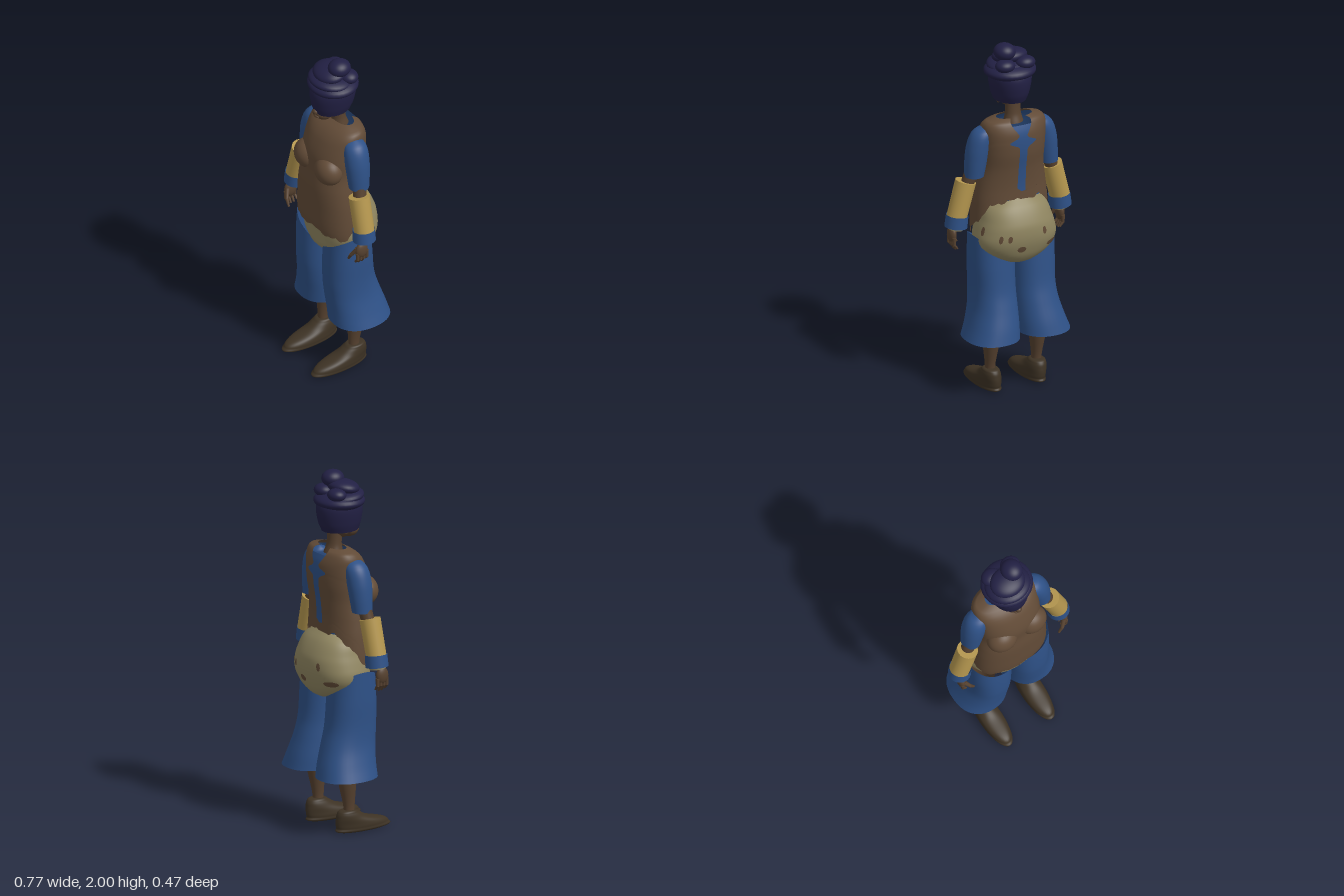
import * as THREE from 'three';
import { mergeVertices } from 'three/addons/utils/BufferGeometryUtils.js';

const mat = (name, color) => new THREE.MeshStandardMaterial({ name, color, side: THREE.DoubleSide });

// Smoothly interpolates profile rows [y, centreX, halfWidth, frontZ, backZ] at height y.
function section(rows, y) {
  let i = 0;
  while (i < rows.length - 2 && y > rows[i + 1][0]) i++;
  const a = rows[i], b = rows[i + 1], p = rows[i - 1] || a, n = rows[i + 2] || b;
  const h = b[0] - a[0], t = THREE.MathUtils.clamp((y - a[0]) / h, 0, 1);
  return a.map((v, k) => {
    const m0 = h * (b[k] - p[k]) / (b[0] - p[0]), m1 = h * (n[k] - v) / (n[0] - a[0]);
    const t2 = t * t, t3 = t2 * t;
    return v * (2 * t3 - 3 * t2 + 1) + m0 * (t3 - 2 * t2 + t) + b[k] * (3 * t2 - 2 * t3) + m1 * (t3 - t2);
  });
}

// Skin over a profile; angle 0 is the front, and the edges may vary with the angle.
function skin(rows, o = {}) {
  const { nu = 40, nv = 20, power = 2.3, grow = 1 } = o;
  const y0 = o.y0 || (() => rows[0][0]), y1 = o.y1 || (() => rows[rows.length - 1][0]);
  const angle = o.angle || (u => (u * 2 - 1) * Math.PI);
  const bend = c => Math.sign(c) * Math.pow(Math.abs(c), 2 / power);
  const pos = [], idx = [];
  for (let j = 0; j <= nv; j++) for (let i = 0; i <= nu; i++) {
    const th = angle(i / nu, j / nv);
    const y = THREE.MathUtils.lerp(y0(th), y1(th), j / nv);
    const [, cx, rx, zf, zb] = section(rows, y);
    pos.push(cx + grow * rx * bend(Math.sin(th)), y, (zf + zb) / 2 + grow * (zf - zb) / 2 * bend(Math.cos(th)));
    if (i < nu && j < nv) {
      const a = j * (nu + 1) + i, c = a + nu + 1;
      idx.push(a, a + 1, c + 1, a, c + 1, c);
    }
  }
  const g = new THREE.BufferGeometry();
  g.setAttribute('position', new THREE.Float32BufferAttribute(pos, 3));
  g.setIndex(idx);
  const m = mergeVertices(g, 1e-5);
  m.computeVertexNormals();
  return m;
}

export function createModel() {
  const root = new THREE.Group();
  const skinMat = mat('skin brown', 0x56412f), vest = mat('vest brown', 0x624b37);
  const blue = mat('cloth blue', 0x2e5187), khaki = mat('khaki', 0x8f8560);
  const yellow = mat('yellow', 0xb5974f), wrap = mat('wrap indigo', 0x222044);
  const shoe = mat('shoe brown', 0x3d3224);

  const add = (name, geo, m) => {
    const mesh = new THREE.Mesh(geo, m);
    mesh.name = name;
    root.add(mesh);
    return mesh;
  };
  const ball = (name, m, p, s, tilt = 0) => {
    const b = add(name, new THREE.SphereGeometry(1, 32, 20), m);
    b.position.set(...p);
    b.scale.set(...s);
    b.rotation.x = tilt;
    return b;
  };
  const limb = (name, m, a, b, ra, rb, open = false) => {
    const A = new THREE.Vector3(...a), d = new THREE.Vector3(...b).sub(A);
    const c = add(name, new THREE.CylinderGeometry(rb, ra, d.length(), 24, 1, open), m);
    c.position.copy(A).addScaledVector(d, 0.5);
    c.quaternion.setFromUnitVectors(new THREE.Vector3(0, 1, 0), d.normalize());
    return c;
  };

  // Vest with a ragged hem, open down the back
  const torso = [
    [0.86, 0, 0.215, 0.145, -0.1], [0.95, 0, 0.222, 0.163, -0.13], [1.1, 0, 0.215, 0.165, -0.128],
    [1.2, 0, 0.202, 0.162, -0.127], [1.3, 0, 0.187, 0.15, -0.135], [1.4, 0, 0.188, 0.145, -0.15],
    [1.5, 0, 0.188, 0.11, -0.15], [1.55, 0, 0.183, 0.075, -0.135], [1.58, 0, 0.155, 0.035, -0.115],
    [1.59, 0, 0.105, 0.01, -0.09]];
  const hem = th => {
    const a = Math.abs(th);
    const base = a < 1 ? 0.94 - 0.04 * a * a : 0.9 + 0.22 * THREE.MathUtils.smoothstep(a, 1, 2.7);
    return base + 0.01 * Math.sin(th * 9) + 0.006 * Math.sin(th * 23);
  };
  const slit = v => (v < 0.12 ? 0 : 0.09) + 0.3 * Math.exp(-(((v - 0.73) / 0.04) ** 2))
    + 0.3 * Math.max(0, v - 0.82) / 0.18;
  add('vest', skin(torso, {
    nu: 72, nv: 50, y0: hem, angle: (u, v) => (u * 2 - 1) * (Math.PI - slit(v)) }), vest);
  add('underBlouse', skin(torso, { grow: 0.95, y0: () => 1.12, y1: () => 1.555 }), blue);
  for (const s of [-1, 1]) ball('bust', vest, [s * 0.095, 1.335, 0.1], [0.088, 0.085, 0.076]);

  // Padded hips
  const hips = [
    [0.74, 0, 0.01, 0.01, -0.08], [0.76, 0, 0.09, 0.095, -0.14], [0.8, 0, 0.175, 0.122, -0.178],
    [0.85, 0, 0.222, 0.127, -0.2], [0.9, 0, 0.234, 0.132, -0.213], [0.95, 0, 0.224, 0.138, -0.216],
    [1.0, 0, 0.208, 0.13, -0.208], [1.08, 0, 0.175, 0.1, -0.168], [1.13, 0, 0.1, 0.04, -0.12]];
  add('hips', skin(hips, { nu: 56, nv: 28 }), khaki);
  // Small brown patches: [angle, height, half angle, half height]
  for (const [c, y, w, h] of [[2.45, 0.93, 0.06, 0.022], [2.7, 0.93, 0.06, 0.02], [3.0, 0.86, 0.1, 0.018],
    [1.8, 0.96, 0.07, 0.025], [-2.4, 0.86, 0.25, 0.016], [-2.75, 0.95, 0.06, 0.022]]) {
    const arc = th => h * Math.sqrt(Math.max(0, 1 - ((th - c) / w) ** 2));
    add('patch', skin(hips, { nu: 12, nv: 4, grow: 1.012, angle: u => c + (u * 2 - 1) * w,
      y0: th => y - arc(th), y1: th => y + arc(th) }), vest);
  }

  for (const s of [-1, 1]) {
    const side = rows => rows.map(([y, cx, ...r]) => [y, s * cx, ...r]);

    // Wide trouser leg, flared at the hem
    add('trouserLeg', skin(side([
      [0.325, 0.155, 0.15, 0.112, -0.226], [0.4, 0.14, 0.138, 0.115, -0.208], [0.5, 0.126, 0.125, 0.125, -0.178],
      [0.6, 0.122, 0.121, 0.133, -0.152], [0.75, 0.1235, 0.123, 0.131, -0.137], [0.93, 0.1235, 0.122, 0.118, -0.122]]),
    { nv: 28, y1: th => 0.755 + 0.083 * (1 + s * Math.sin(th)) }), blue);

    // Lower leg and shoe
    add('lowerLeg', skin(side([
      [0.09, 0.143, 0.028, 0, -0.06], [0.15, 0.143, 0.028, 0, -0.064], [0.33, 0.142, 0.053, 0.012, -0.1],
      [0.55, 0.135, 0.068, 0.04, -0.1]]), { power: 2 }), skinMat);
    add('shoe', skin(side([
      [0.003, 0.137, 0.01, 0.06, 0.04], [0.006, 0.137, 0.052, 0.215, -0.09], [0.03, 0.137, 0.062, 0.228, -0.106],
      [0.055, 0.138, 0.061, 0.195, -0.11], [0.085, 0.14, 0.055, 0.085, -0.108], [0.115, 0.142, 0.046, 0.03, -0.1],
      [0.13, 0.143, 0.034, 0.005, -0.08], [0.133, 0.143, 0.005, -0.03, -0.04]]), { nv: 36, power: 2.1 }), shoe);

    // Sleeve, elbow, forearm, cuff
    add('sleeve', skin(side([
      [1.262, 0.228, 0.054, 0.052, -0.062], [1.35, 0.217, 0.062, 0.058, -0.072], [1.43, 0.203, 0.066, 0.06, -0.078],
      [1.5, 0.183, 0.062, 0.05, -0.075], [1.535, 0.165, 0.045, 0.025, -0.055], [1.548, 0.155, 0.01, -0.01, -0.025]]),
    { power: 2 }), blue);
    limb('elbow', skinMat, [s * 0.27, 1.18, 0.015], [s * 0.235, 1.3, 0], 0.036, 0.038);
    limb('forearm', yellow, [s * 0.32, 1.02, 0.024], [s * 0.265, 1.228, 0.02], 0.056, 0.058);
    limb('cuff', blue, [s * 0.322, 0.97, 0.026], [s * 0.314, 1.038, 0.025], 0.063, 0.061, true);
    limb('cuffLining', khaki, [s * 0.325, 0.958, 0.03], [s * 0.318, 1.0, 0.027], 0.045, 0.05);

    // Hand
    ball('palm', skinMat, [s * 0.333, 0.918, 0.052], [0.022, 0.048, 0.038]);
    for (let i = 0; i < 4; i++) {
      const z = 0.02 + i * 0.02, tip = 0.828 + 0.008 * Math.abs(i - 1.5);
      limb('finger', skinMat, [s * 0.336, 0.862, z], [s * 0.336, 0.905, z], 0.009, 0.011);
      limb('fingertip', skinMat, [s * 0.316, tip, z], [s * 0.337, 0.866, z], 0.006, 0.009);
    }
    limb('thumb', skinMat, [s * 0.3, 0.885, 0.098], [s * 0.328, 0.93, 0.075], 0.01, 0.014);
    limb('thumbTip', skinMat, [s * 0.278, 0.848, 0.1], [s * 0.301, 0.888, 0.098], 0.006, 0.01);
    ball('ear', skinMat, [s * 0.078, 1.685, -0.005], [0.01, 0.025, 0.016]);
  }

  // Neck and face
  add('neck', skin([[1.55, 0, 0.055, 0.02, -0.085], [1.6, 0, 0.044, 0.012, -0.068], [1.7, 0, 0.044, 0.02, -0.062]],
    { power: 2 }), skinMat);
  ball('head', skinMat, [0, 1.735, 0.02], [0.082, 0.11, 0.1]);
  ball('jaw', skinMat, [0, 1.665, 0.068], [0.055, 0.042, 0.054]);
  ball('nose', skinMat, [0, 1.685, 0.122], [0.018, 0.017, 0.016]);
  ball('lips', skinMat, [0, 1.656, 0.115], [0.025, 0.01, 0.013]);

  // Head wrap: fitted band, coiled rolls and bun
  add('wrapBand', skin([[1.672, 0, 0.088, 0.118, -0.095], [1.72, 0, 0.103, 0.132, -0.115], [1.8, 0, 0.115, 0.139, -0.126],
    [1.86, 0, 0.105, 0.12, -0.11]], { power: 2 }), wrap);
  ball('wrapRoll', wrap, [0, 1.838, 0.006], [0.145, 0.05, 0.138]);
  ball('wrapRollFront', wrap, [-0.005, 1.865, 0.02], [0.128, 0.04, 0.118], -0.1);
  ball('wrapCoil', wrap, [-0.008, 1.912, 0.025], [0.1, 0.042, 0.085], 0.15);
  for (const s of [-1, 1]) ball('wrapLobe', wrap, [s * 0.062, 1.888, -0.055], [0.056, 0.036, 0.05]);
  ball('wrapBun', wrap, [0.04, 1.952, -0.008], [0.06, 0.048, 0.064]);

  return root;
}
